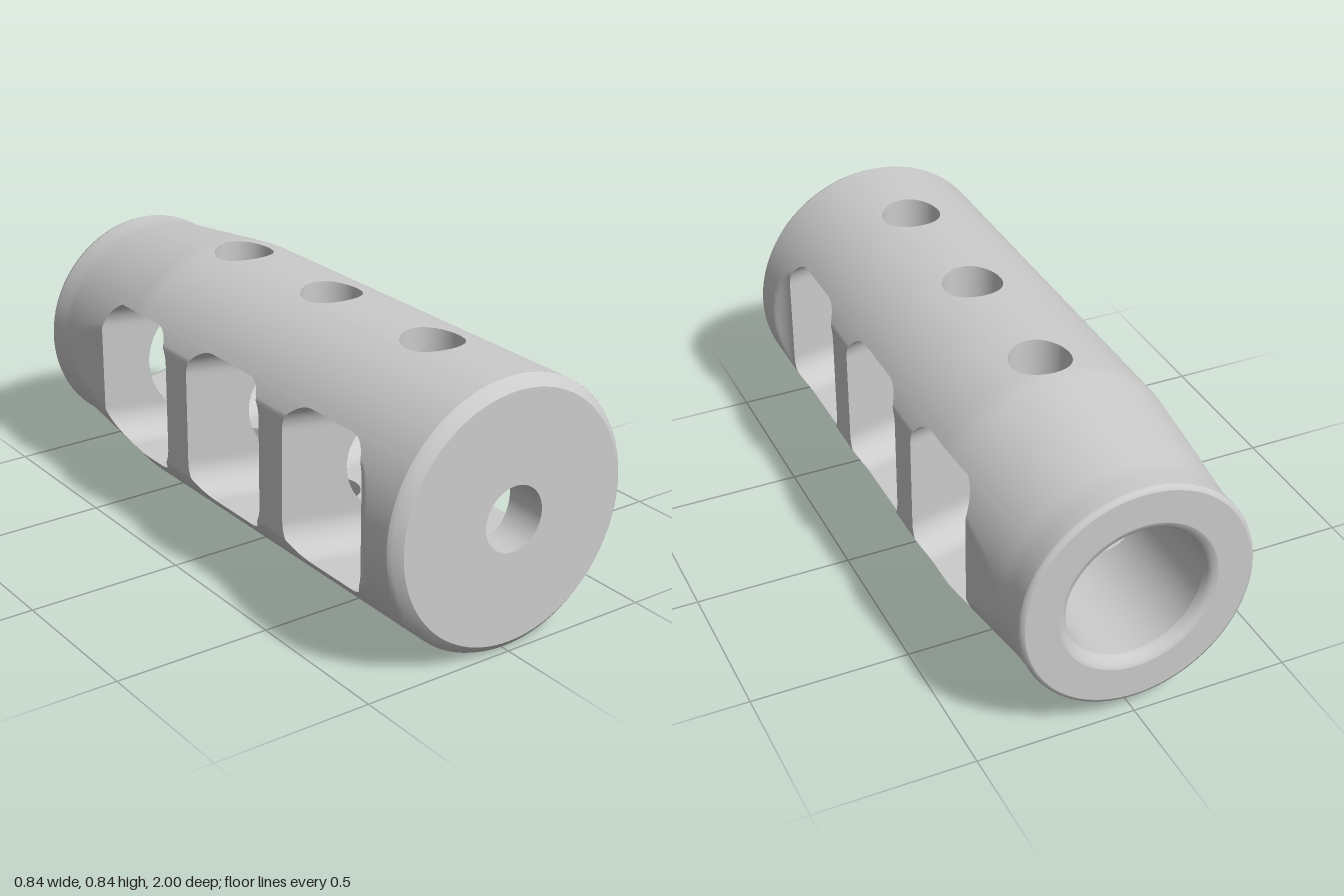
import * as THREE from 'three';

// Ported tube lying along z: slanted side slots, round vents above and below, stepped bore.
const AXIS_Y = 0.42, FRONT = 0.965, BACK = -0.985;
const HALF_H = 0.245, CORNER = 0.1, SLANT = 0.26, FLAT = 0.371, VENT_R = 0.095;
const SLOTS = [
  { front: 0.793, rear: 0.4, vent: 0.62, boreFront: 0.102, boreRear: 0.175 },
  { front: 0.28, rear: -0.12, vent: 0.13, boreFront: 0.175, boreRear: 0.175 },
  { front: -0.24, rear: -0.64, vent: -0.35, boreFront: 0.175, boreRear: 0.22 },
];
const { sqrt, abs, min, max, sin, cos, PI } = Math;
const lerp = THREE.MathUtils.lerp;
const root = (v) => sqrt(max(0, v));

const material = new THREE.MeshStandardMaterial({ color: 0xcccccc, side: THREE.DoubleSide });

// Outer radius: straight, then tapering to the rear
const radius = (z) => lerp(0.42, 0.368, THREE.MathUtils.clamp((-0.45 - z) / 0.45, 0, 1));
// Side flats that sweep out to the front collar
const flatX = (z) => (z < 0.76 ? FLAT : FLAT + 0.05 * ((z - 0.76) / 0.1) ** 2);
const outerR = (a, z) => min(radius(z), flatX(z) / max(abs(cos(a)), 1e-4));
const shift = (x) => SLANT * (FLAT - abs(x));
const inset = (dy) => {
  const a = min(CORNER, max(0, abs(dy) - (HALF_H - CORNER)));
  return CORNER - root(CORNER ** 2 - a * a);
};
const frontEdge = (s, x, dy) => s.front - inset(dy) + shift(x);
const rearEdge = (s, x, dy) => s.rear + inset(dy) + shift(x);

// Surface from a rule p(i, j) giving [x, y, z]
function sheet(name, nu, nv, p) {
  const pos = [], index = [];
  for (let i = 0; i <= nu; i++) for (let j = 0; j <= nv; j++) pos.push(...p(i, j / nv));
  for (let i = 0; i < nu; i++) {
    for (let j = 0; j < nv; j++) {
      const a = i * (nv + 1) + j, b = a + nv + 1;
      index.push(a, b, b + 1, a, b + 1, a + 1);
    }
  }
  const g = new THREE.BufferGeometry();
  g.setAttribute('position', new THREE.Float32BufferAttribute(pos, 3));
  g.setIndex(index);
  g.computeVertexNormals();
  const mesh = new THREE.Mesh(g, material);
  mesh.name = name;
  return mesh;
}

// Shell strip over a range of angles, between two z limits that depend on the angle
function shellBand(name, angles, lo, hi, rows) {
  return sheet(name, angles.length - 1, rows, (i, t) => {
    const a = angles[i], z = lerp(lo(a), hi(a), t), r = outerR(a, z);
    return [r * cos(a), r * sin(a), z];
  });
}

// Where a slot edge meets the outer surface at a given angle
function slotEdgeZ(slot, edge, a) {
  let z = edge(slot, FLAT, 0);
  for (let n = 0; n < 12; n++) {
    const r = outerR(a, z);
    z = edge(slot, r * cos(a), r * sin(a));
  }
  return z;
}

function addShell(group) {
  const slotA = Math.asin(HALF_H / 0.42), ventA = Math.asin(VENT_R / 0.42);
  const spread = (mid, half, n) =>
    Array.from({ length: n + 1 }, (_, i) => mid + half * sin(PI * (i / n - 0.5)));
  const ventHalf = (a) => root(VENT_R ** 2 - (0.42 * cos(a)) ** 2);
  const ends = [() => BACK, () => FRONT];
  // Four bands left standing between three openings
  const bands = (name, angles, gapLo, gapHi) => {
    for (let k = 0; k <= 3; k++) {
      const hi = k === 0 ? ends[1] : (a) => gapLo(SLOTS[k - 1], a);
      const lo = k === 3 ? ends[0] : (a) => gapHi(SLOTS[k], a);
      group.add(shellBand(name, angles, lo, hi, 20));
    }
  };
  for (const m of [0, PI]) {
    bands('slottedSide', spread(m, slotA, 56),
      (s, a) => slotEdgeZ(s, rearEdge, a), (s, a) => slotEdgeZ(s, frontEdge, a));
    bands('ventedWall', spread(m + PI / 2, ventA, 28),
      (s, a) => s.vent - ventHalf(a), (s, a) => s.vent + ventHalf(a));
    const half = (PI / 2 - slotA - ventA) / 2;
    for (const mid of [m + slotA + half, m + PI - slotA - half]) {
      const angles = Array.from({ length: 15 }, (_, i) => mid + half * (i / 7 - 1));
      group.add(shellBand('plainWall', angles, ...ends, 78));
    }
  }
}

// Closed rounded-rectangle outline of a slot as [dy, z] points
function slotOutline(s) {
  const zs = [s.rear + CORNER, s.front - CORNER], ys = HALF_H - CORNER, pts = [];
  const corners = [[ys, zs[1]], [ys, zs[0]], [-ys, zs[0]], [-ys, zs[1]]];
  corners.forEach(([y, z], c) => {
    for (let i = 0; i <= 14; i++) {
      const a = (c + i / 14) * PI / 2;
      pts.push([y + CORNER * cos(a - (PI / 2)), z + CORNER * -sin(a - (PI / 2))]);
    }
    const last = pts[pts.length - 1], next = corners[(c + 1) % 4];
    const end = [next[0] + CORNER * sin((c + 1) * PI / 2), next[1] + CORNER * cos((c + 1) * PI / 2)];
    for (let i = 1; i < 28; i++) pts.push([lerp(last[0], end[0], i / 28), lerp(last[1], end[1], i / 28)]);
  });
  pts.push(pts[0]);
  return pts;
}

function addSlot(group, s) {
  const outline = slotOutline(s), mid = (s.front + s.rear) / 2;
  // Each slot wall runs from the bore or vent edge out to the shell
  const spans = outline.map(([dy, z0]) => {
    const bore = z0 > mid ? s.boreFront : s.boreRear;
    let xin = root(bore ** 2 - dy * dy);
    const c = z0 + FLAT * SLANT - s.vent, q = 1 + SLANT ** 2;
    const disc = (c * SLANT) ** 2 - q * (c * c - VENT_R ** 2);
    if (disc > 0 && abs(dy) > 0.2) xin = max(xin, (c * SLANT + sqrt(disc)) / q);
    let xout = FLAT;
    for (let n = 0; n < 10; n++) {
      const z = z0 + shift(xout);
      xout = min(flatX(z), root(radius(z) ** 2 - dy * dy));
    }
    return [xin, xout];
  });
  for (const side of [1, -1]) {
    group.add(sheet('slotWall', outline.length - 1, 3, (i, t) => {
      const j = side > 0 ? i : outline.length - 1 - i;
      const x = lerp(...spans[j], t);
      return [side * x, outline[j][0], outline[j][1] + shift(x)];
    }));
    // Round vent from the slot roof (or floor) to the shell
    group.add(sheet('ventWall', 48, 2, (i, t) => {
      const a = side * i / 48 * 2 * PI, x = VENT_R * cos(a), z = s.vent + VENT_R * sin(a);
      const z0 = z - shift(x);
      const d = min(CORNER, max(0, z0 - s.front + CORNER, s.rear + CORNER - z0));
      const inner = HALF_H - CORNER + root(CORNER ** 2 - d * d);
      return [x, side * lerp(inner, root(radius(z) ** 2 - x * x), t), z];
    }));
  }
}

// Bore wall between two z limits that depend on position around the axis
function boreWall(name, r, lo, hi) {
  return sheet(name, 72, 4, (i, t) => {
    const a = -i / 72 * 2 * PI, x = r * cos(a), y = r * sin(a);
    return [x, y, lerp(lo(x, y), hi(x, y), t)];
  });
}

// Turned ring made of separate runs of [radius, z] so the corners stay crisp
function turned(name, runs) {
  const part = new THREE.Group();
  part.name = name;
  for (const run of runs) {
    const g = new THREE.LatheGeometry(run.map(([r, z]) => new THREE.Vector2(r, z)), 96);
    part.add(new THREE.Mesh(g.rotateX(PI / 2), material));
  }
  return part;
}

export function createModel() {
  const model = new THREE.Group(), body = new THREE.Group();
  model.name = 'portedTube';
  body.name = 'body';
  body.position.y = AXIS_Y;
  model.add(body);

  addShell(body);
  SLOTS.forEach((s) => addSlot(body, s));

  // Bore through the front plate, the two baffles and the rear socket
  const [s1, s2, s3] = SLOTS;
  body.add(boreWall('frontBore', s1.boreFront, (x, y) => frontEdge(s1, x, y), () => 1));
  for (const [a, b] of [[s1, s2], [s2, s3]]) {
    body.add(boreWall('baffleBore', a.boreRear,
      (x, y) => frontEdge(b, x, y), (x, y) => rearEdge(a, x, y)));
  }
  body.add(boreWall('rearSocket', s3.boreRear, () => -0.965, (x, y) => rearEdge(s3, x, y)));

  // End faces with eased rims
  body.add(turned('frontFace', [
    [[0.42, FRONT], [0.412, 0.98], [0.388, 1]],
    [[0.388, 1], [s1.boreFront, 1]],
  ]));
  body.add(turned('rearFace', [
    [[0.22, -0.965], [0.224, -0.982], [0.234, -0.995], [0.25, -1]],
    [[0.25, -1], [0.355, -1]],
    [[0.355, -1], [0.365, -0.995], [0.368, BACK]],
  ]));
  return model;
}
